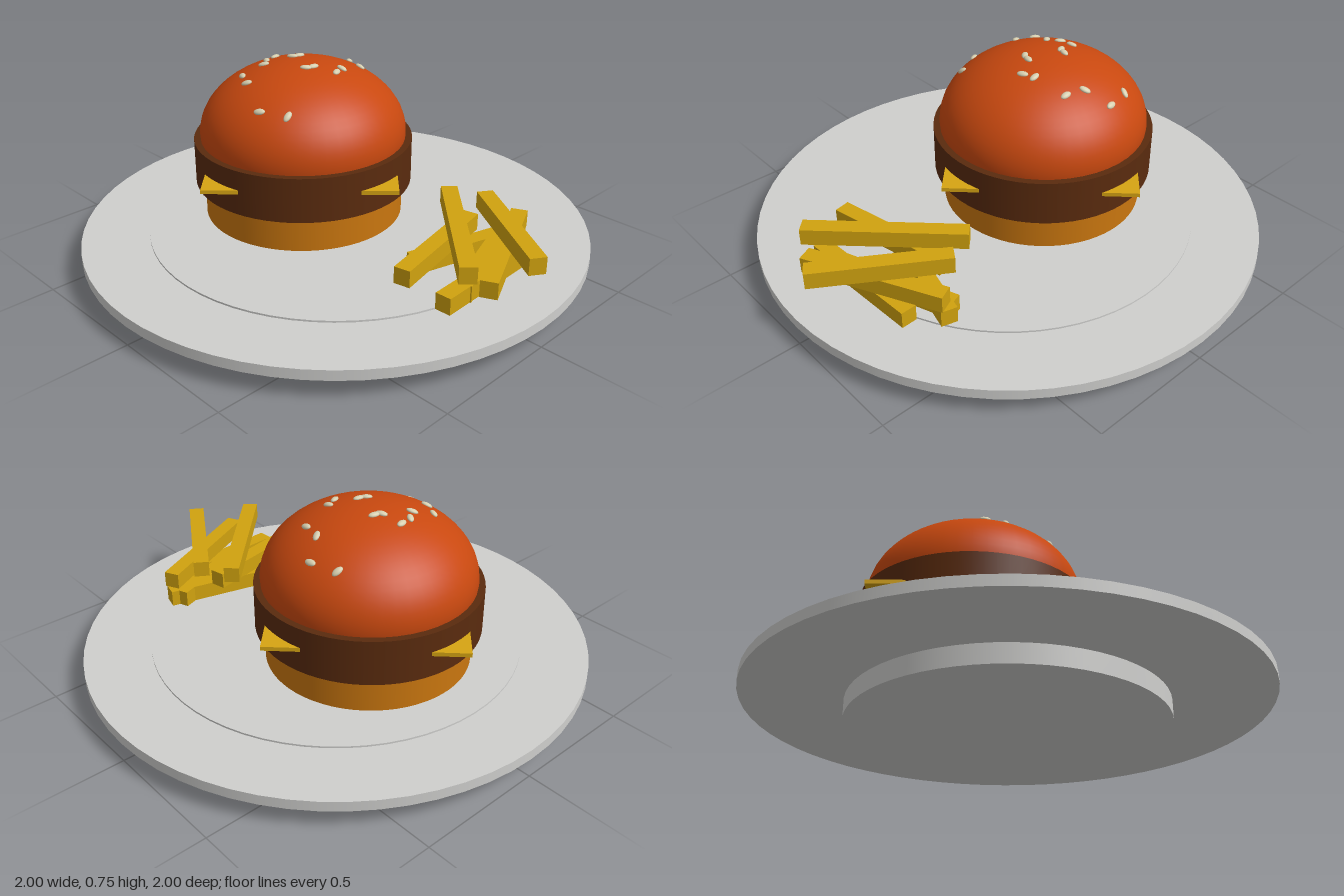
import * as THREE from 'three';

const mat = (name, color) => {
  const m = new THREE.MeshStandardMaterial({ color });
  m.name = name;
  return m;
};

export function createModel() {
  const root = new THREE.Group();
  root.name = 'burgerPlate';
  const china = mat('china', 0xcfcfcd);
  const crust = mat('topBunCrust', 0xc8480f);
  const bread = mat('bottomBunBread', 0xc9760f);
  const meat = mat('meat', 0x5a2b0e);
  const cheeseYellow = mat('cheeseYellow', 0xd6a413);
  const potato = mat('potato', 0xd0a20f);
  const sesame = mat('sesame', 0xd6cfb0);

  const add = (parent, name, geometry, material, x = 0, y = 0, z = 0) => {
    const mesh = new THREE.Mesh(geometry, material);
    mesh.name = name;
    mesh.position.set(x, y, z);
    parent.add(mesh);
    return mesh;
  };
  // Upright disc between two heights
  const disc = (parent, name, r, y0, y1, material) =>
    add(parent, name, new THREE.CylinderGeometry(r, r, y1 - y0, 64), material, 0, (y0 + y1) / 2, 0);

  // Plate: foot, wide rim and slightly raised centre
  const plate = new THREE.Group();
  plate.name = 'plate';
  root.add(plate);
  disc(plate, 'plateFoot', 0.617, 0, 0.076, china);
  disc(plate, 'plateRim', 1, 0.075, 0.115, china);
  disc(plate, 'plateCentre', 0.738, 0.11, 0.122, china);

  // Burger stack
  const burger = new THREE.Group();
  burger.name = 'burger';
  burger.position.x = -0.187;
  root.add(burger);
  disc(burger, 'bottomBun', 0.4, 0.12, 0.262, bread);
  disc(burger, 'lowerPatty', 0.436, 0.26, 0.35, meat);
  disc(burger, 'upperPatty', 0.436, 0.35, 0.439, meat);
  const cheese = add(burger, 'cheeseSlice', new THREE.BoxGeometry(0.74, 0.016, 0.74), cheeseYellow, 0, 0.353, 0);
  cheese.rotation.y = Math.PI / 4;

  // Domed top bun
  const R = 0.411, H = 0.285, Y = 0.459;
  const bun = add(burger, 'topBun', new THREE.SphereGeometry(1, 48, 32), crust, 0, Y, 0);
  bun.scale.set(R, H, R);

  // Sesame seeds lying on the dome: x, z, heading in degrees
  const seeds = [
    [-0.145, -0.29, 80], [-0.038, -0.32, 10], [0.021, -0.24, -60], [0.101, -0.22, 0],
    [0.133, -0.086, 5], [0.15, -0.04, -65], [-0.064, -0.043, 75], [-0.075, -0.016, 25],
    [-0.155, 0.005, -80], [-0.145, 0.059, -35], [-0.112, 0.102, 35], [0.075, 0.011, 80],
    [0.064, 0.04, 45], [-0.134, 0.193, -25], [-0.064, 0.23, 30], [0.096, 0.305, 30], [0.198, 0.257, -75],
  ];
  const seedGeometry = new THREE.SphereGeometry(1, 12, 8).scale(0.023, 0.009, 0.013);
  const up = new THREE.Vector3(0, 1, 0);
  for (const [x, z, deg] of seeds) {
    const h = H * Math.sqrt(1 - (x * x + z * z) / (R * R));
    const seed = add(burger, 'sesameSeed', seedGeometry, sesame, x, Y + h + 0.002, z);
    const normal = new THREE.Vector3(x / (R * R), h / (H * H), z / (R * R)).normalize();
    seed.quaternion.setFromUnitVectors(up, normal)
      .multiply(new THREE.Quaternion().setFromAxisAngle(up, THREE.MathUtils.degToRad(deg)));
  }

  // Fries stacked in three layers: layer, start x z, end x z
  const fries = new THREE.Group();
  fries.name = 'fries';
  root.add(fries);
  const sticks = [
    [0, 0.49, 0.098, 0.62, -0.385],
    [0, 0.743, 0.225, 0.722, -0.29],
    [0, 0.575, -0.36, 0.745, 0.12],
    [1, 0.604, 0.28, 0.503, -0.22],
    [1, 0.62, -0.37, 0.862, 0.135],
    [2, 0.39, -0.225, 0.825, 0.203],
    [2, 0.513, -0.288, 0.95, -0.01],
  ];
  for (const [layer, x0, z0, x1, z1] of sticks) {
    const length = Math.hypot(x1 - x0, z1 - z0);
    const fry = add(fries, 'fry', new THREE.BoxGeometry(length, 0.065, 0.063), potato,
      (x0 + x1) / 2, 0.156 + layer * 0.068, (z0 + z1) / 2);
    fry.rotation.y = -Math.atan2(z1 - z0, x1 - x0);
  }
  return root;
}
